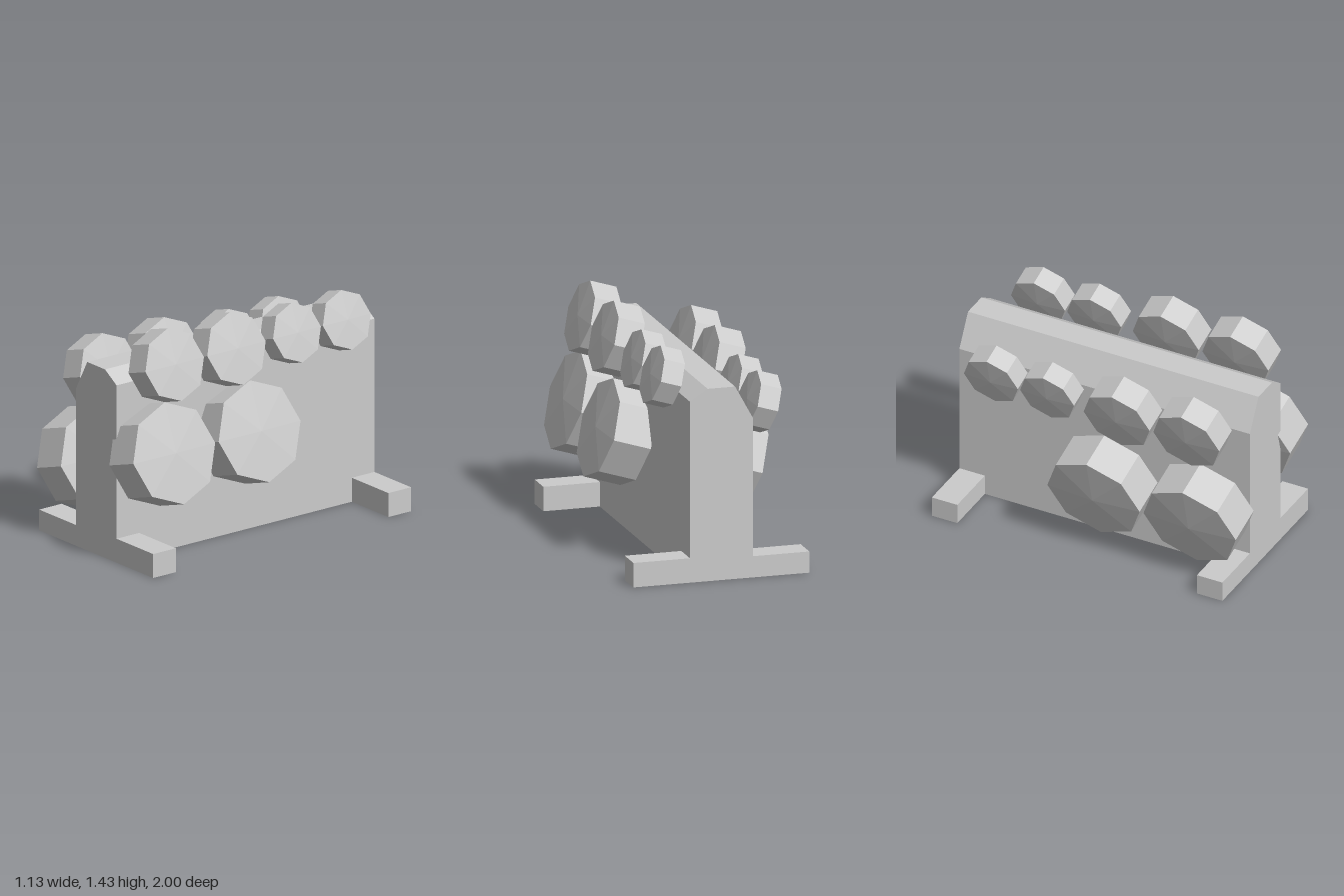
import * as THREE from 'three';

const material = new THREE.MeshStandardMaterial({ color: 0xcccccc, flatShading: true, side: THREE.DoubleSide });

// Drops every triangle whose three corners all satisfy the test
function dropFaces(geometry, test) {
  const flat = geometry.index ? geometry.toNonIndexed() : geometry;
  const p = flat.attributes.position;
  const kept = [];
  for (let i = 0; i < p.count; i += 3) {
    const corners = [0, 1, 2].map((k) => new THREE.Vector3().fromBufferAttribute(p, i + k));
    if (!corners.every(test)) corners.forEach((v) => kept.push(v.x, v.y, v.z));
  }
  const result = new THREE.BufferGeometry();
  result.setAttribute('position', new THREE.Float32BufferAttribute(kept, 3));
  result.computeVertexNormals();
  return result;
}

function addMesh(group, name, geometry) {
  const mesh = new THREE.Mesh(geometry, material);
  mesh.name = name;
  group.add(mesh);
  return mesh;
}

// Eight-sided weight head with slightly domed ends, axis along y
function headGeometry(radius, thickness) {
  const h = thickness / 2;
  const dome = radius * 0.06;
  const profile = [[0, -h - dome], [radius, -h], [radius, h], [0, h + dome]];
  return new THREE.LatheGeometry(profile.map(([x, y]) => new THREE.Vector2(x, y)), 8);
}

export function createModel() {
  const model = new THREE.Group();
  model.name = 'weightRack';

  // Hollow upright wall, open underneath
  const outline = [[-0.18, 0], [0.21, 0], [0.21, 1.11], [0.1, 1.18], [-0.07, 1.18], [-0.18, 0.98]];
  const wall = new THREE.ExtrudeGeometry(
    new THREE.Shape(outline.map(([x, y]) => new THREE.Vector2(x, y))),
    { depth: 1.94, bevelEnabled: false }
  ).translate(0, 0, -1);
  addMesh(model, 'uprightWall', dropFaces(wall, (v) => Math.abs(v.y) < 1e-4));

  // Four feet, open underneath and where they meet the wall
  const feet = [
    { name: 'Left', inner: 0.21, outer: 0.56, height: 0.15 },
    { name: 'Right', inner: -0.18, outer: -0.53, height: 0.13 },
  ];
  for (const { name, inner, outer, height } of feet) {
    for (const [end, z] of [['front', 0.855], ['back', -0.915]]) {
      const box = new THREE.BoxGeometry(Math.abs(outer - inner), height, 0.17)
        .translate((inner + outer) / 2, height / 2, z);
      const foot = dropFaces(box, (v) => Math.abs(v.y) < 1e-4)
      addMesh(model, `${end}${name}Foot`, dropFaces(foot, (v) => Math.abs(v.x - inner) < 1e-4));
    }
  }

  // Rows of weight heads; both sides lean the same way
  const sizes = {
    large: { geometry: headGeometry(0.308, 0.24), z: [0.692, 0.05] },
    medium: { geometry: headGeometry(0.22, 0.17), z: [0.635, 0.17] },
    small: { geometry: headGeometry(0.18, 0.133), z: [-0.31, -0.685] },
  };
  const rows = [
    ['large', 0.332, 0.66], ['large', -0.36, 0.455],
    ['medium', 0.297, 1.195], ['medium', -0.328, 0.993],
    ['small', 0.283, 1.188], ['small', -0.316, 0.986],
  ];
  for (const [size, x, y] of rows) {
    const { geometry, z } = sizes[size];
    z.forEach((zPos) => {
      const head = addMesh(model, `${size}WeightHead`, geometry);
      head.position.set(x, y, zPos);
      head.rotation.z = 0.305 - Math.PI / 2;
    });
  }

  return model;
}
